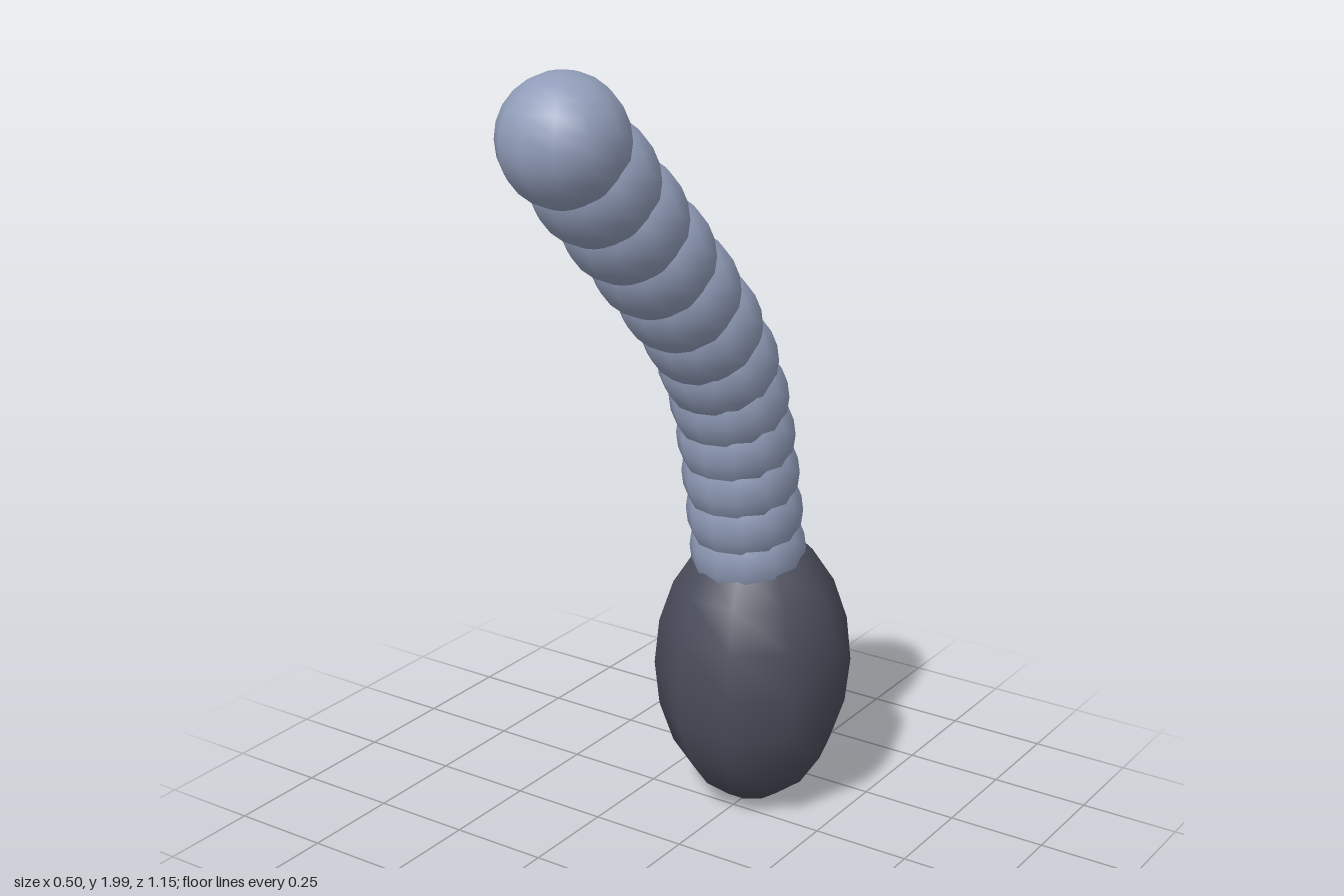
import * as THREE from 'three';

export function createModel() {
  const group = new THREE.Group();
  const darkGrey = new THREE.MeshStandardMaterial({ color: 0x4a4d5b });
  darkGrey.name = 'dark grey';
  const blueGrey = new THREE.MeshStandardMaterial({ color: 0x919db9 });
  blueGrey.name = 'blue grey';

  // Egg-shaped base
  const base = new THREE.Mesh(new THREE.SphereGeometry(0.25, 10, 10), darkGrey);
  base.name = 'base';
  base.scale.y = 1.5;
  base.position.set(0, 0.385, -0.335);
  group.add(base);

  // Curved stalk of overlapping balls, evenly stepped in height and bending forward
  const stalk = new THREE.Group();
  stalk.name = 'stalk';
  const ball = new THREE.SphereGeometry(0.145, 12, 12);
  const depths = [-0.305, -0.288, -0.268, -0.245, -0.213, -0.163, -0.09, 0.005, 0.108, 0.215, 0.322, 0.428];
  depths.forEach((z, i) => {
    const segment = new THREE.Mesh(ball, blueGrey);
    segment.name = i === depths.length - 1 ? 'tip' : `stalkSegment${i + 1}`;
    segment.position.set(0, 0.71 + (1.145 * i) / (depths.length - 1), z);
    stalk.add(segment);
  });
  group.add(stalk);

  return group;
}
